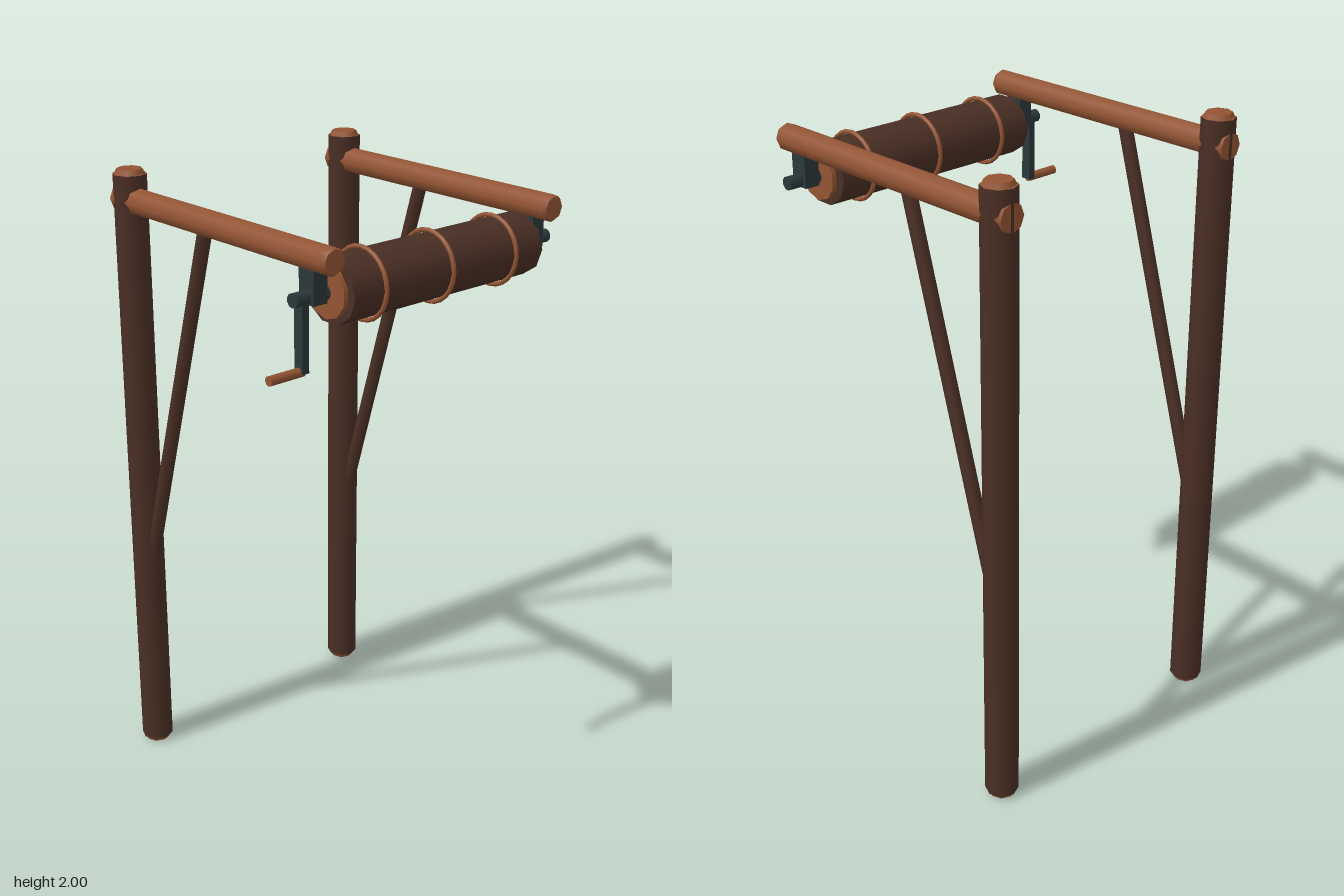
import * as THREE from 'three';

export function createModel() {
  const model = new THREE.Group();
  model.name = 'wellWinch';

  const bark = new THREE.MeshStandardMaterial({ color: 0x4a2f24 });
  bark.name = 'dark bark';
  const timber = new THREE.MeshStandardMaterial({ color: 0x935433 });
  timber.name = 'light timber';
  const iron = new THREE.MeshStandardMaterial({ color: 0x2b383b });
  iron.name = 'dark iron';

  const UP = new THREE.Vector3(0, 1, 0);
  const AXLE_X = 0.387, AXLE_Y = 1.795;

  // Round bar between two points; ends can have their own material
  function bar(name, from, to, r0, r1, sides, side, end = side, parent = model) {
    const a = new THREE.Vector3(...from), b = new THREE.Vector3(...to);
    const dir = b.clone().sub(a);
    const geo = new THREE.CylinderGeometry(r1, r0, dir.length(), sides);
    const mesh = new THREE.Mesh(geo, [side, end, end]);
    mesh.position.copy(a).add(b).multiplyScalar(0.5);
    mesh.quaternion.setFromUnitVectors(UP, dir.normalize());
    mesh.name = name;
    parent.add(mesh);
    return mesh;
  }

  function box(name, w, h, d, x, y, z, parent = model) {
    const mesh = new THREE.Mesh(new THREE.BoxGeometry(w, h, d), iron);
    mesh.position.set(x, y, z);
    mesh.name = name;
    parent.add(mesh);
  }

  // Two matching frames: post, beam, brace and axle bracket
  for (const [label, z] of [['front', 0.39], ['back', -0.48]]) {
    const frame = new THREE.Group();
    frame.name = label + 'Frame';
    model.add(frame);
    const x = -0.45;
    bar('post', [x, 0.015, z], [x, 1.985, z], 0.0525, 0.0525, 8, bark, timber, frame);
    bar('postTop', [x, 1.985, z], [x, 2, z], 0.047, 0.04, 8, timber, timber, frame);
    bar('postFoot', [x, 0, z], [x, 0.015, z], 0.04, 0.047, 8, timber, timber, frame);
    bar('beam', [-0.5, 1.905, z], [0.465, 1.905, z], 0.042, 0.042, 8, timber, timber, frame);
    bar('beamTip', [0.465, 1.905, z], [0.475, 1.905, z], 0.042, 0.036, 8, timber, timber, frame);
    bar('brace', [-0.425, 0.71, z], [-0.085, 1.88, z], 0.022, 0.022, 8, bark, bark, frame);
    box('bracket', 0.06, 0.1, 0.05, AXLE_X, 1.825, z, frame);
  }

  // Winding drum with end discs
  const drum = bar('drum', [AXLE_X, AXLE_Y, -0.42], [AXLE_X, AXLE_Y, 0.33],
    0.103, 0.103, 10, bark, bark);
  drum.rotation.set(Math.PI / 2, 0, 0);
  drum.geometry.rotateY(Math.PI / 10 * 5);
  drum.scale.z = 0.92;
  for (const z of [-0.43, 0.34]) {
    bar('drumEnd', [AXLE_X, AXLE_Y, z - 0.01], [AXLE_X, AXLE_Y, z + 0.005],
      0.077, 0.077, 10, timber);
  }

  // Hoops around the drum
  for (const z of [-0.305, -0.045, 0.215]) {
    const hoop = new THREE.Mesh(new THREE.TorusGeometry(0.104, 0.007, 8, 24), timber);
    hoop.position.set(AXLE_X, AXLE_Y, z);
    hoop.name = 'hoop';
    model.add(hoop);
  }

  // Axle, crank arm and handle
  bar('axle', [AXLE_X, AXLE_Y, -0.55], [AXLE_X, AXLE_Y, 0.465], 0.021, 0.021, 10, iron);
  box('crankArm', 0.034, 0.22, 0.024, AXLE_X, 1.695, 0.432);
  bar('crankHandle', [AXLE_X, 1.588, 0.43], [AXLE_X, 1.588, 0.55], 0.015, 0.015, 8, timber);

  return model;
}
